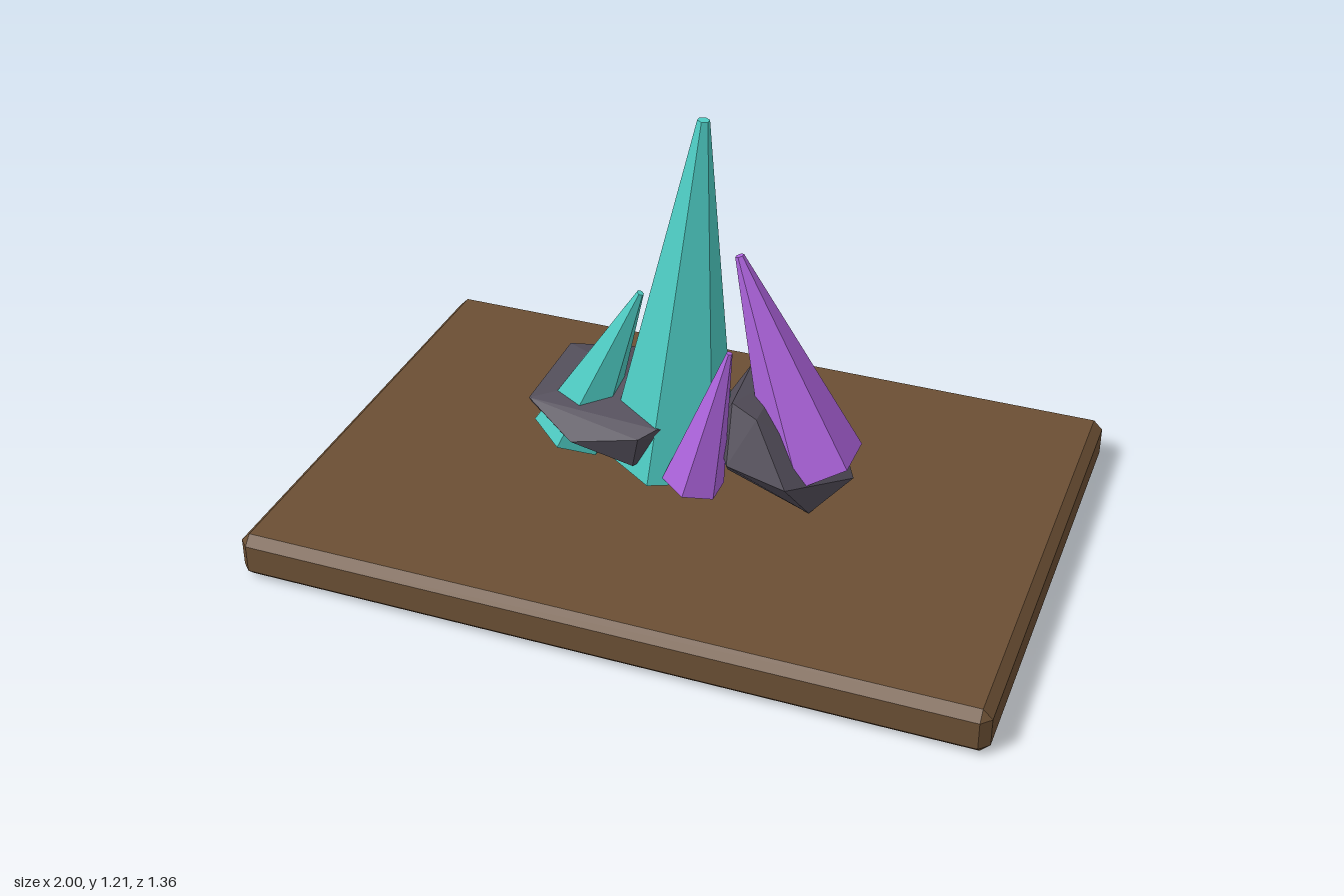
import * as THREE from 'three';
import { ConvexGeometry } from 'three/addons/geometries/ConvexGeometry.js';

const material = (name, color) => {
  const m = new THREE.MeshStandardMaterial({ color, flatShading: true });
  m.name = name;
  return m;
};

function hull(name, points, mat) {
  const mesh = new THREE.Mesh(new ConvexGeometry(points.map(p => new THREE.Vector3(...p))), mat);
  mesh.name = name;
  return mesh;
}

// Tapered six-sided crystal running from the centre of its base to its tip
function crystal(name, base, tip, radius, tipRadius, mat) {
  const a = new THREE.Vector3(...base), b = new THREE.Vector3(...tip);
  const axis = b.clone().sub(a);
  const mesh = new THREE.Mesh(new THREE.CylinderGeometry(tipRadius, radius, axis.length(), 6), mat);
  mesh.position.copy(a).add(b).multiplyScalar(0.5);
  mesh.quaternion.setFromUnitVectors(new THREE.Vector3(0, 1, 0), axis.normalize());
  mesh.name = name;
  return mesh;
}

// Corner points of a box with every edge chamfered
function chamferedBox(w, h, d, c) {
  const points = [];
  for (const x of [-1, 1]) for (const y of [-1, 1]) for (const z of [-1, 1]) {
    for (let full = 0; full < 3; full++) {
      const p = [w / 2, h / 2, d / 2].map((v, i) => (i === full ? v : v - c));
      points.push([x * p[0], y * p[1] + h / 2, z * p[2]]);
    }
  }
  return points;
}

export function createModel() {
  const group = new THREE.Group();
  const wood = material('brown wood', 0x6b4f34);
  const stone = material('dark stone', 0x524d59);
  const teal = material('teal crystal', 0x4ecdc4);
  const purple = material('purple crystal', 0xae64de);

  group.add(hull('base', chamferedBox(2, 0.127, 1.355, 0.025), wood));

  // Rough stones around the crystals
  group.add(hull('leftRock', [
    [-0.46, 0.26, 0], [-0.40, 0.38, -0.14], [-0.40, 0.37, 0.14], [-0.25, 0.30, -0.23],
    [-0.06, 0.38, -0.23], [-0.25, 0.31, 0.215], [-0.06, 0.36, 0.215], [-0.02, 0.38, 0.18],
    [-0.28, 0.41, -0.05], [-0.17, 0.42, 0.02], [-0.05, 0.40, 0], [0.06, 0.36, -0.14],
    [0.07, 0.33, 0.08], [0.09, 0.29, -0.02], [-0.09, 0.25, 0.18], [-0.16, 0.19, 0.05],
    [-0.05, 0.215, -0.12], [-0.35, 0.235, -0.10], [-0.35, 0.235, 0.07],
  ], stone));
  group.add(hull('rightRock', [
    [0.14, 0.45, -0.11], [0.15, 0.44, 0.08], [0.22, 0.41, 0.09], [0.22, 0.42, -0.12],
    [0.13, 0.36, -0.205], [0.32, 0.30, -0.205], [0.38, 0.27, -0.14], [0.45, 0.20, -0.04],
    [0.36, 0.13, 0.06], [0.34, 0.165, -0.155], [0.32, 0.25, 0.15], [0.16, 0.29, 0.15],
    [0.14, 0.23, 0.08], [0.13, 0.25, -0.14], [0.08, 0.35, -0.10], [0.08, 0.31, 0.02],
  ], stone));

  // Crystals
  group.add(crystal('tallTealCrystal', [-0.04, 0.215, 0.03], [0.05, 1.205, 0.03], 0.175, 0.016, teal));
  group.add(crystal('smallTealCrystal', [-0.31, 0.25, 0.06], [-0.11, 0.705, 0.06], 0.11, 0.01, teal));
  group.add(crystal('largePurpleCrystal', [0.342, 0.23, -0.035], [0.125, 0.81, -0.035], 0.135, 0.012, purple));
  group.add(crystal('smallPurpleCrystal', [0.065, 0.217, 0.14], [0.162, 0.627, 0.14], 0.084, 0.008, purple));

  return group;
}
